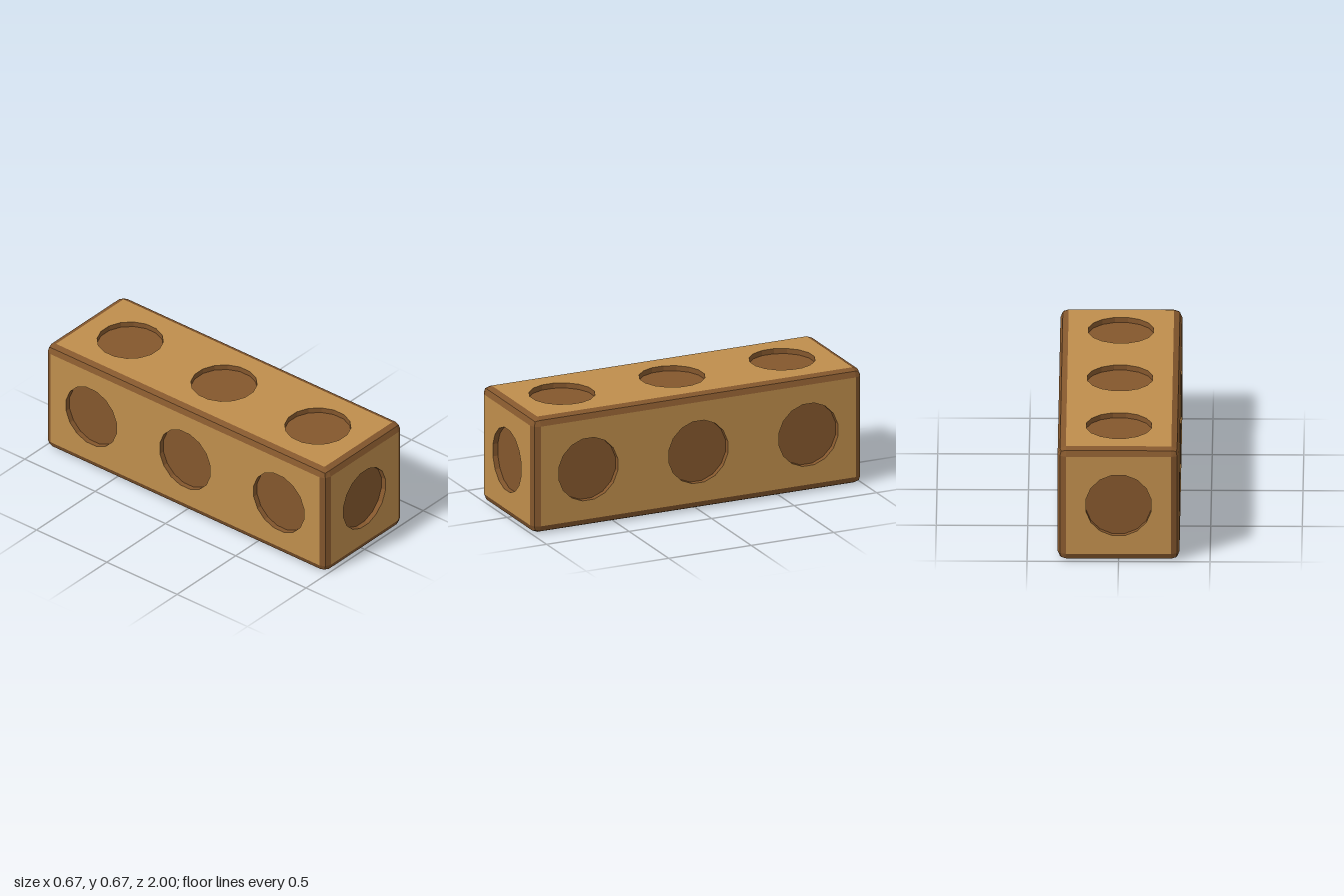
import * as THREE from 'three';

const HALF = [0.333, 0.333, 1]; // half extents
const R = 0.045;                // edge bevel radius
const CORE = HALF.map((h) => h - R);
const HOLE_R = 0.182, HOLE_DEPTH = 0.03, SPACING = 0.667, SIDES = 16;

// Rounded frame: two flat strips along each edge, three quads at each corner
function bevelGeometry() {
  const pos = [];
  const quad = (...q) => {
    const [a, b, c] = q;
    const n = b.clone().sub(a).cross(c.clone().sub(a));
    if (n.dot(a.clone().add(c)) < 0) q.reverse();
    for (const i of [0, 1, 2, 0, 2, 3]) pos.push(...q[i].toArray());
  };
  // point on the rounded surface for a corner sign and a direction
  const point = (sign, dir) => {
    const len = Math.hypot(...dir);
    return new THREE.Vector3(...sign.map((s, i) => s * (CORE[i] + (R * dir[i]) / len)));
  };
  const unit = (...axes) => [0, 1, 2].map((i) => (axes.includes(i) ? 1 : 0));

  for (let a = 0; a < 3; a++) {
    const b = (a + 1) % 3, c = (a + 2) % 3;
    for (const sb of [-1, 1]) for (const sc of [-1, 1]) {
      const s0 = [0, 0, 0], s1 = [0, 0, 0];
      s0[a] = -1; s1[a] = 1;
      s0[b] = s1[b] = sb;
      s0[c] = s1[c] = sc;
      for (const d of [unit(b), unit(c)]) {
        const m = unit(b, c);
        quad(point(s0, d), point(s1, d), point(s1, m), point(s0, m));
      }
      for (const s of [s0, s1]) {
        quad(point(s, unit(a)), point(s, unit(a, b)), point(s, [1, 1, 1]), point(s, unit(a, c)));
      }
    }
  }
  const g = new THREE.BufferGeometry();
  g.setAttribute('position', new THREE.Float32BufferAttribute(pos, 3));
  g.computeVertexNormals();
  return g;
}

// Flat panel facing +z with shallow round recesses at the given y offsets
function makePanel(name, w, h, offsets, lightWood, darkWood) {
  const panel = new THREE.Group();
  panel.name = name;
  const shape = new THREE.Shape([
    new THREE.Vector2(-w, -h), new THREE.Vector2(w, -h),
    new THREE.Vector2(w, h), new THREE.Vector2(-w, h),
  ]);
  for (const y of offsets) {
    const ring = [];
    for (let i = 0; i < SIDES; i++) {
      const t = ((i + 0.5) / SIDES) * Math.PI * 2;
      ring.push(new THREE.Vector2(HOLE_R * Math.cos(t), y + HOLE_R * Math.sin(t)));
    }
    shape.holes.push(new THREE.Path(ring));

    const wall = new THREE.Mesh(
      new THREE.CylinderGeometry(HOLE_R, HOLE_R, HOLE_DEPTH, SIDES, 1, true, Math.PI / SIDES)
        .rotateX(Math.PI / 2), darkWood);
    wall.name = 'holeWall';
    wall.position.set(0, y, -HOLE_DEPTH / 2);

    const floor = new THREE.Mesh(new THREE.CircleGeometry(HOLE_R, SIDES, Math.PI / SIDES), darkWood);
    floor.name = 'holeFloor';
    floor.position.set(0, y, -HOLE_DEPTH);
    panel.add(wall, floor);
  }
  const face = new THREE.Mesh(new THREE.ShapeGeometry(shape), lightWood);
  face.name = 'panelFace';
  panel.add(face);
  return panel;
}

export function createModel() {
  const lightWood = new THREE.MeshStandardMaterial({ color: 0xbf8e4c });
  lightWood.name = 'lightWood';
  const darkWood = new THREE.MeshStandardMaterial({
    color: 0x84572d, side: THREE.DoubleSide, flatShading: true,
  });
  darkWood.name = 'darkWood';

  const model = new THREE.Group();
  model.name = 'beam';
  const block = new THREE.Group();
  block.name = 'block';
  block.position.y = HALF[1];
  model.add(block);

  const bevel = new THREE.Mesh(bevelGeometry(), darkWood);
  bevel.name = 'bevelledEdges';
  block.add(bevel);

  // Four long sides with three holes each, turned around the z axis
  ['topPanel', 'leftPanel', 'bottomPanel', 'rightPanel'].forEach((name, i) => {
    const panel = makePanel(name, CORE[0], CORE[2], [-SPACING, 0, SPACING], lightWood, darkWood);
    panel.rotation.x = -Math.PI / 2;
    panel.position.y = HALF[1];
    const turn = new THREE.Group();
    turn.name = name + 'Mount';
    turn.rotation.z = (-i * Math.PI) / 2;
    turn.add(panel);
    block.add(turn);
  });

  // Square ends with one hole each
  ['frontPanel', 'backPanel'].forEach((name, i) => {
    const panel = makePanel(name, CORE[0], CORE[1], [0], lightWood, darkWood);
    panel.rotation.y = i * Math.PI;
    panel.position.z = i ? -HALF[2] : HALF[2];
    block.add(panel);
  });

  return model;
}
